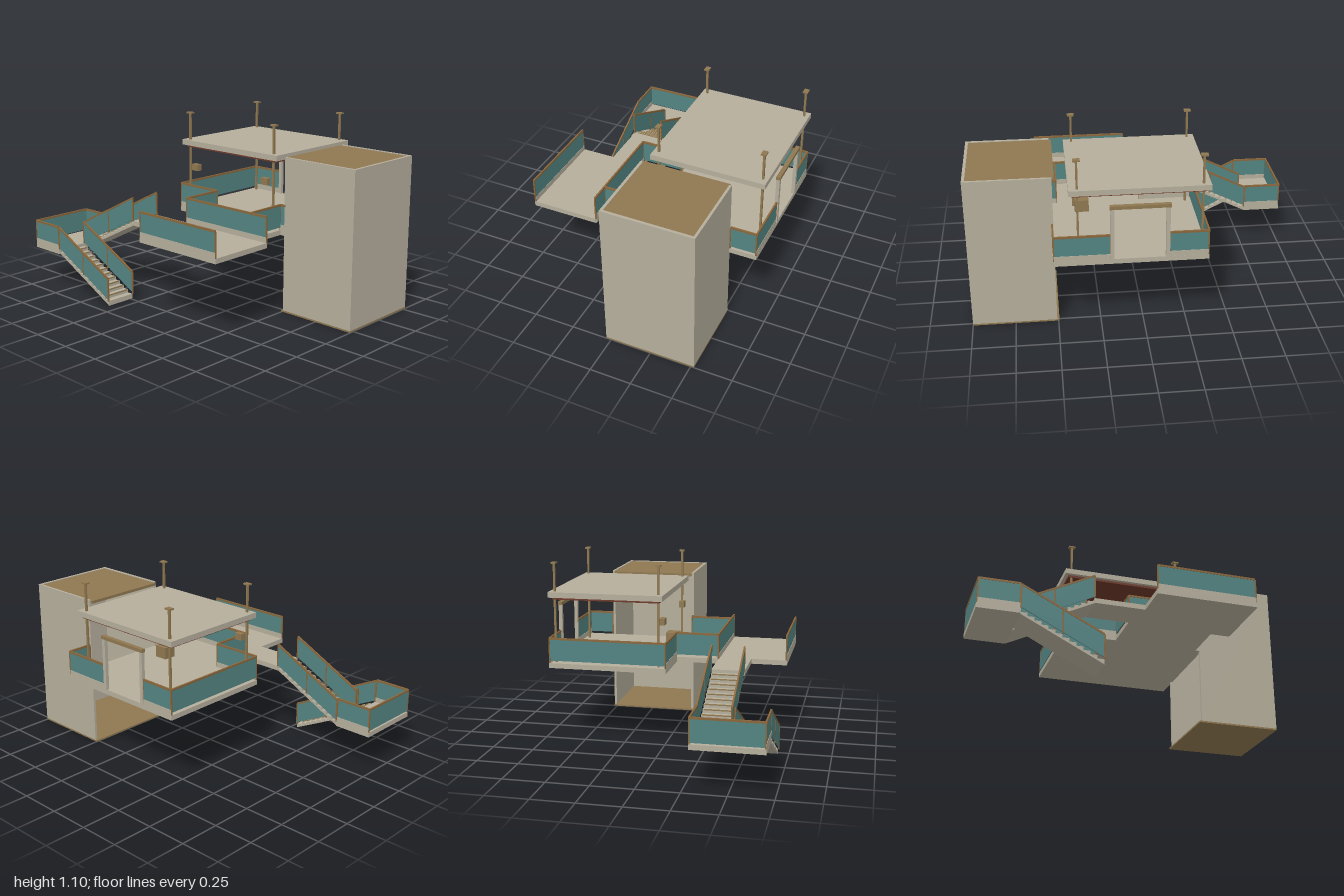
import * as THREE from 'three';

export function createModel() {
  const root = new THREE.Group();
  root.name = 'raisedDeck';
  const mat = (name, color) => {
    const m = new THREE.MeshStandardMaterial({ color });
    m.name = name;
    return m;
  };
  const concrete = mat('concrete', 0xb5ae9c);
  const ochre = mat('ochre', 0x8f7850);
  const bronze = mat('bronze', 0x8a673c);
  const glass = mat('tealGlass', 0x528482);
  const soffit = mat('redSoffit', 0x6e3a2a);

  const add = (name, geo, m, parent = root) => {
    const mesh = new THREE.Mesh(geo, m);
    mesh.name = name;
    parent.add(mesh);
    return mesh;
  };
  // Box given by its low and high limits on each axis
  const box = (name, m, x0, x1, y0, y1, z0, z1, parent) => {
    const g = new THREE.BoxGeometry(x1 - x0, y1 - y0, z1 - z0);
    g.translate((x0 + x1) / 2, (y0 + y1) / 2, (z0 + z1) / 2);
    return add(name, g, m, parent);
  };
  // Upright strip between two points, sheared when their heights differ
  const strip = (name, m, a, b, lo, hi, thick, parent) => {
    const dx = b[0] - a[0], dz = b[2] - a[2], len = Math.hypot(dx, dz);
    const g = new THREE.BoxGeometry(len, hi - lo, thick);
    const p = g.attributes.position;
    for (let i = 0; i < p.count; i++) p.setY(i, p.getY(i) + (p.getX(i) / len) * (b[1] - a[1]));
    g.computeVertexNormals();
    g.rotateY(-Math.atan2(dz, dx));
    g.translate((a[0] + b[0]) / 2, (a[1] + b[1]) / 2 + (lo + hi) / 2, (a[2] + b[2]) / 2);
    return add(name, g, m, parent);
  };
  // Glass railing with handrail, end posts and optional kerb
  const railing = (name, a, b, { kerb = 0, low = 0.015, top = 0.155, posts = 1 } = {}) => {
    const g = new THREE.Group();
    g.name = name;
    root.add(g);
    if (kerb) strip('kerb', concrete, a, b, -0.03, kerb, 0.009, g);
    strip('glassPanel', glass, a, b, Math.max(kerb, low), top - 0.012, 0.005, g);
    strip('handrail', bronze, a, b, top - 0.012, top, 0.01, g);
    for (let i = 0; i <= posts; i++) {
      const [x, y, z] = a.map((v, k) => v + (b[k] - v) * (i / posts));
      box('railPost', bronze, x - 0.004, x + 0.004, y, y + top - 0.008, z - 0.004, z + 0.004, g);
    }
  };

  // Tower: three walls, open at the back, with floor and roof plates
  box('towerFloor', ochre, -0.03, 0.52, 0, 0.01, 0.495, 1, root);
  box('towerRoof', ochre, -0.013, 0.505, 0.914, 0.931, 0.495, 0.983, root);
  box('towerFrontWall', concrete, -0.03, 0.52, 0.01, 0.935, 0.983, 1);
  box('towerRightWall', concrete, -0.03, -0.013, 0.01, 0.935, 0.508, 0.983);
  box('towerLeftWall', concrete, 0.505, 0.52, 0.01, 0.935, 0.508, 0.983);

  // Deck slab
  const outline = [
    [-0.03, -0.355], [0.685, -0.355], [0.685, 0.52], [-0.03, 0.52], [-0.03, 0.48], [-0.29, 0.48],
    [-0.29, 0.6], [-0.7, 0.6], [-0.7, 0], [-0.485, 0], [-0.485, -0.3], [-0.29, -0.3],
    [-0.29, -0.04], [-0.03, -0.04],
  ];
  const deck = new THREE.ExtrudeGeometry(
    new THREE.Shape(outline.map(([x, z]) => new THREE.Vector2(x, -z))),
    { depth: 0.03, bevelEnabled: false });
  deck.rotateX(-Math.PI / 2);
  deck.translate(0, 0.47, 0);
  add('deckSlab', deck, concrete);

  // Deck railings
  const D = 0.5, side = { kerb: 0.032 };
  railing('leftRailingFront', [0.68, D, 0.516], [0.68, D, 0.2], side);
  railing('leftRailingBack', [0.68, D, -0.13], [0.68, D, -0.35], side);
  railing('backRailing', [-0.026, D, -0.35], [0.68, D, -0.35]);
  railing('frontRailing', [0.525, D, 0.516], [0.68, D, 0.516]);
  railing('innerRailing', [-0.026, D, -0.35], [-0.026, D, -0.036], side);
  railing('shortRailing', [-0.026, D, 0.476], [-0.026, D, 0.516], side);
  railing('bridgeRailingFront', [-0.286, D, 0.476], [-0.026, D, 0.476]);
  railing('bridgeRailingBack', [-0.286, D, -0.036], [-0.026, D, -0.036]);
  railing('terraceInnerRailing', [-0.288, D, -0.036], [-0.288, D, 0.596], side);
  railing('terraceOuterRailing', [-0.696, D, 0.004], [-0.696, D, 0.596], side);

  // Canopy with soffit on four tall posts
  box('canopy', concrete, -0.01, 0.68, 0.897, 0.93, -0.357, 0.425);
  box('canopySoffit', soffit, 0.012, 0.66, 0.883, 0.897, -0.335, 0.403);
  for (const x of [0.022, 0.65]) {
    for (const z of [-0.315, 0.377]) {
      box('canopyPost', ochre, x - 0.006, x + 0.006, D, 1.097, z - 0.006, z + 0.006);
      box('postCap', ochre, x - 0.015, x + 0.015, 1.095, 1.104, z - 0.02, z + 0.02);
    }
  }

  // Entrance portal on the left side
  for (const z of [-0.12, 0.19]) box('portalPost', concrete, 0.669, 0.69, D, 0.812, z - 0.011, z + 0.011);
  box('portalBeam', ochre, 0.668, 0.693, 0.812, 0.832, -0.136, 0.204);

  // Hanging boxes and the chest on the deck
  for (const z of [-0.25, 0.325]) box('hangingBox', ochre, -0.006, 0.026, 0.742, 0.782, z - 0.025, z + 0.025);
  box('chest', ochre, 0.03, 0.11, D, 0.575, 0.285, 0.37);

  // Stair flights: sawtooth section extruded sideways, dir is the way down along z
  const steps = 12, run = 0.46, rise = 0.23, du = run / steps, dv = rise / steps;
  const flight = (name, x0, x1, zTop, yTop, dir) => {
    const s = new THREE.Shape();
    s.moveTo(0, yTop - 0.03);
    s.lineTo(run, yTop - rise - 0.03);
    for (let i = steps - 1; i >= 0; i--) {
      const y = yTop - (i + 1) * dv;
      s.lineTo((i + 1) * du, y);
      s.lineTo(i * du, y);
      const z = zTop + dir * ((i + 1) * du - 0.003);
      if (i < steps - 1) box('stepNosing', ochre, x0 + 0.006, x1 - 0.006, y - 0.004, y + 0.002, z - 0.004, z + 0.004);
    }
    s.closePath();
    const g = new THREE.ExtrudeGeometry(s, { depth: x1 - x0, bevelEnabled: false });
    g.translate(0, 0, -(x1 - x0) / 2);
    g.rotateY(-dir * Math.PI / 2);
    g.translate((x0 + x1) / 2, 0, zTop);
    add(name, g, concrete);
    for (const x of [x0 - 0.004, x1 + 0.004]) {
      railing(name + 'Railing', [x, yTop, zTop], [x, yTop - rise, zTop + dir * run], { low: 0.008, top: 0.147, posts: 2 });
    }
  };
  flight('upperFlight', -0.48, -0.294, -0.3, 0.5, -1);
  flight('lowerFlight', -0.69, -0.505, -0.76, 0.27, 1);

  // Half landing
  box('landing', concrete, -0.7, -0.29, 0.24, 0.27, -0.995, -0.76);
  const L = 0.27, low = { kerb: 0.03, top: 0.15 };
  railing('landingLeftRailing', [-0.294, L, -0.99], [-0.294, L, -0.764], low);
  railing('landingRightRailing', [-0.696, L, -0.99], [-0.696, L, -0.764], low);
  railing('landingBackRailing', [-0.696, L, -0.99], [-0.294, L, -0.99], { low: 0.008, top: 0.15 });

  return root;
}
